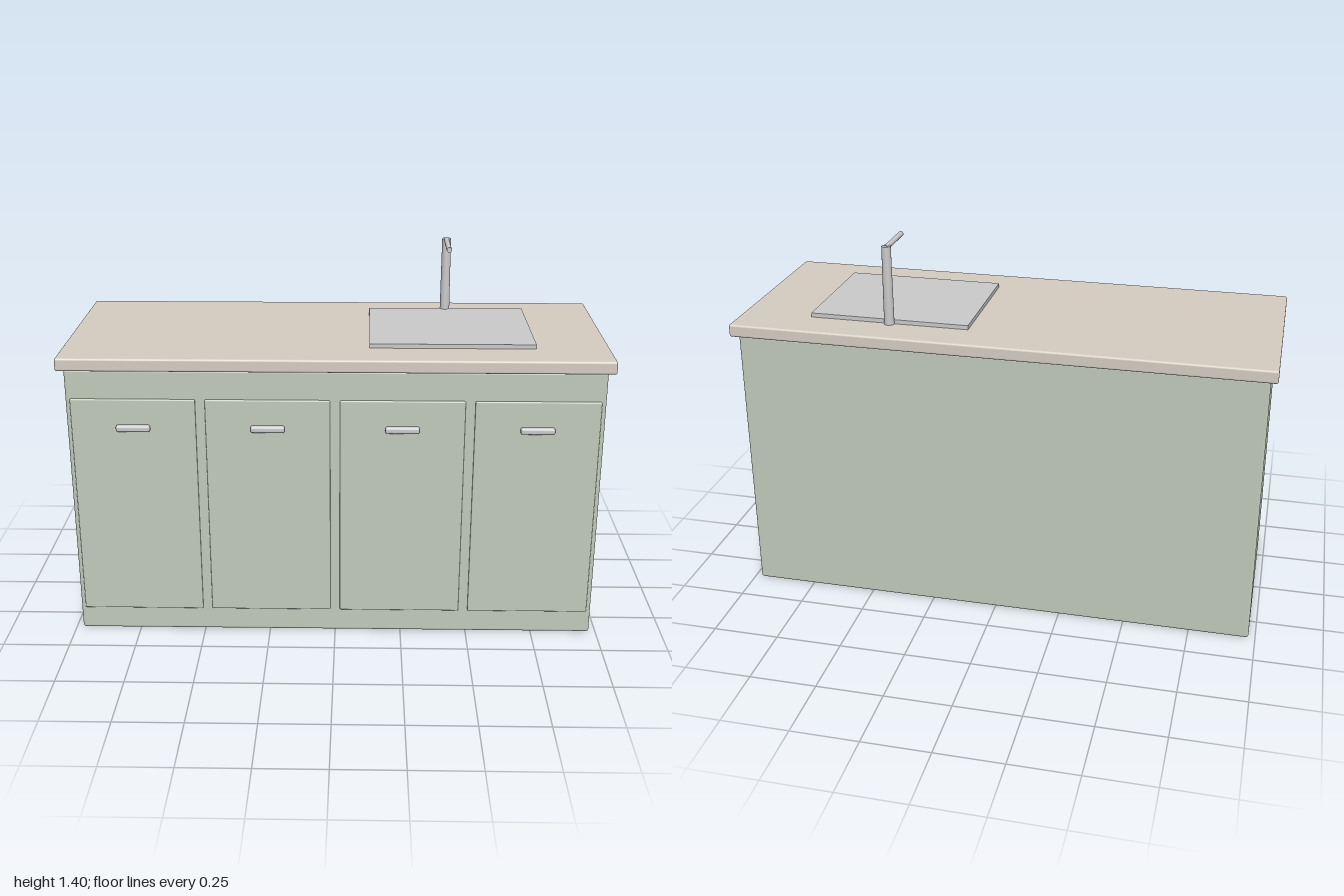
import * as THREE from 'three';
import { RoundedBoxGeometry } from 'three/addons/geometries/RoundedBoxGeometry.js';

export function createModel() {
  const group = new THREE.Group();
  const sage = new THREE.MeshStandardMaterial({ color: 0xc0cbbb });
  const stone = new THREE.MeshStandardMaterial({ color: 0xd6cdc2 });
  const metal = new THREE.MeshStandardMaterial({ color: 0xcccccc });

  const add = (name, geometry, material, x, y, z) => {
    const mesh = new THREE.Mesh(geometry, material);
    mesh.name = name;
    mesh.position.set(x, y, z);
    group.add(mesh);
    return mesh;
  };
  const rounded = (w, h, d, r) => new RoundedBoxGeometry(w, h, d, 3, r);

  // Cabinet body and overhanging worktop
  add('cabinet', rounded(1.95, 1.05, 0.73, 0.01), sage, 0, 0.525, -0.001);
  add('worktop', rounded(2, 0.048, 0.778, 0.008), stone, 0, 1.074, -0.002);

  // Four thin door panels, each with a bar handle
  for (let i = 0; i < 4; i++) {
    const x = (i - 1.5) * 0.488;
    add('door', rounded(0.453, 0.85, 0.02, 0.005), sage, x, 0.515, 0.361);
    add('handle', rounded(0.124, 0.024, 0.024, 0.008), metal, x, 0.833, 0.38);
  }

  // Flat sink cover
  add('sink', new THREE.BoxGeometry(0.606, 0.018, 0.484), metal, 0.427, 1.105, -0.003);

  // Tap: upright post with a forward spout
  add('tapPost', new THREE.CylinderGeometry(0.017, 0.019, 0.3, 24), metal, 0.424, 1.246, -0.247);
  const spout = add('tapSpout', new THREE.CylinderGeometry(0.01, 0.01, 0.18, 20), metal, 0.424, 1.39, -0.16);
  spout.rotation.x = Math.PI / 2;

  return group;
}
